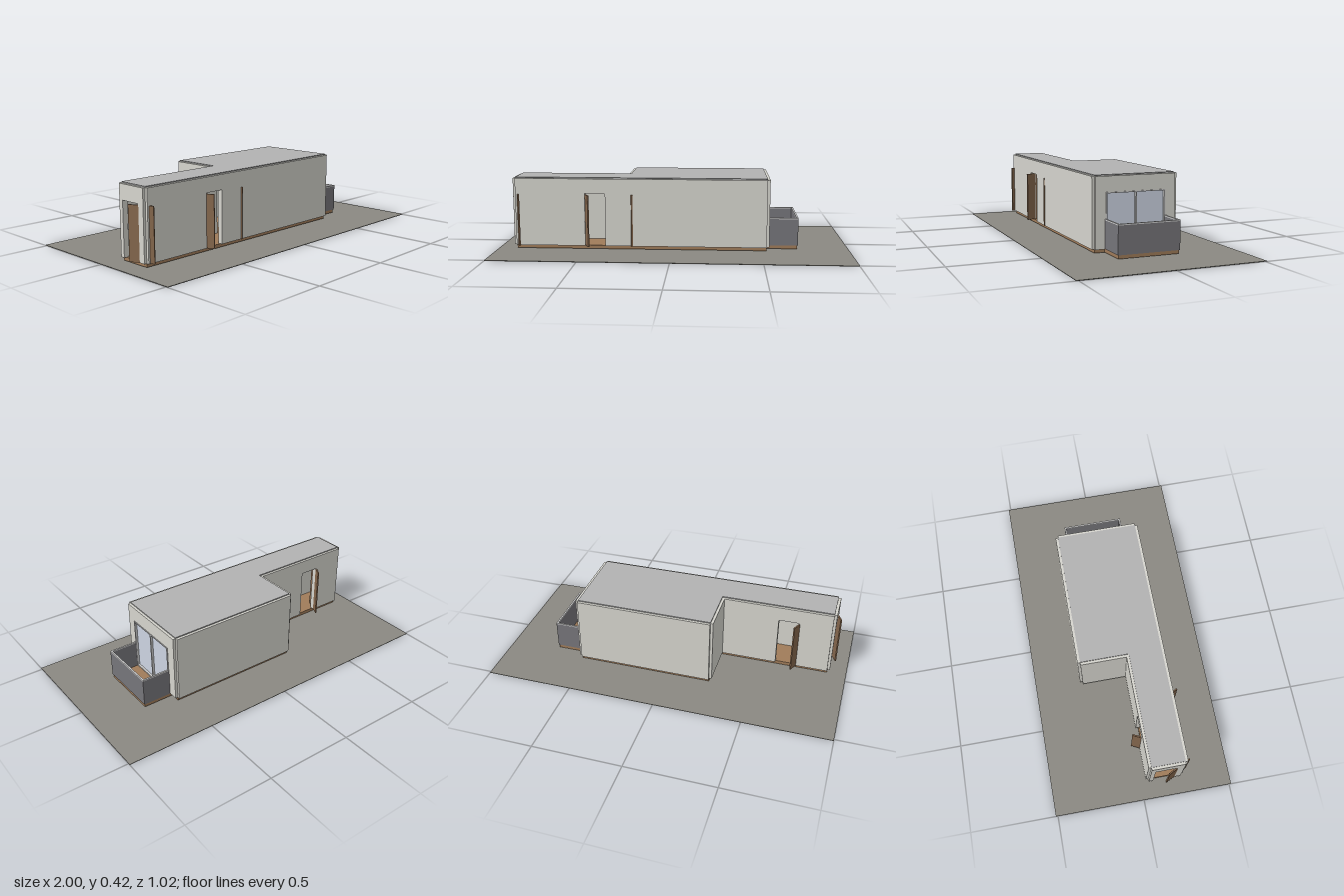
import * as THREE from 'three';

const paint = (color) => new THREE.MeshStandardMaterial({ color });

export function createModel() {
  const house = new THREE.Group();
  house.name = 'house';
  const plaster = paint(0xd6d5ce), wood = paint(0xa07c5a), doorWood = paint(0x86684e);
  const roofGrey = paint(0xb2b2b2), railGrey = paint(0x76757a), trim = paint(0xcdcfd0);
  const glass = paint(0xccd4e2), paving = paint(0x8b8982);

  // Box given by its extents on each axis
  function box(name, mat, [x0, x1], [y0, y1], [z0, z1], parent = house) {
    const mesh = new THREE.Mesh(new THREE.BoxGeometry(x1 - x0, y1 - y0, z1 - z0), mat);
    mesh.position.set((x0 + x1) / 2, (y0 + y1) / 2, (z0 + z1) / 2);
    mesh.name = name;
    parent.add(mesh);
    return mesh;
  }

  // L-shaped plan: narrow wing on the right, wide room on the left
  const W = -0.89, E = 0.53, S = 0.23, N = -0.23, JX = -0.25, JZ = 0.045;
  function slab(name, mat, y0, y1) {
    const plan = [[W, S], [E, S], [E, N], [JX, N], [JX, JZ], [W, JZ]];
    const shape = new THREE.Shape(plan.map(([x, z]) => new THREE.Vector2(x, -z)));
    const geo = new THREE.ExtrudeGeometry(shape, { depth: y1 - y0, bevelEnabled: false });
    const mesh = new THREE.Mesh(geo.rotateX(-Math.PI / 2), mat);
    mesh.position.y = y0;
    mesh.name = name;
    house.add(mesh);
  }

  box('ground', paving, [-1, 1], [0, 0.003], [-0.512, 0.512]);
  slab('floor', wood, 0.009, 0.029);
  slab('roof', roofGrey, 0.405, 0.418);

  // Walls centred on the plan edges, with an optional opening [from, to, top]
  const T = 0.015, Y0 = 0.029, Y1 = 0.412;
  function wall(name, axis, at, from, to, opening) {
    const group = new THREE.Group();
    group.name = name;
    house.add(group);
    const piece = (part, a, b, y0, y1) => {
      const along = [a, b], across = [at - T, at + T];
      box(part, plaster, axis === 'x' ? along : across, [y0, y1], axis === 'x' ? across : along, group);
    };
    if (!opening) return piece('wallPanel', from, to, Y0, Y1);
    const [a, b, top] = opening;
    piece('wallPanel', from, a, Y0, Y1);
    piece('wallPanel', b, to, Y0, Y1);
    piece('lintel', a, b, top, Y1);
  }
  const DOOR_TOP = 0.328;
  wall('frontWall', 'x', S, W, E, [-0.495, -0.38, DOOR_TOP]);
  wall('backWall', 'x', N, JX, E);
  wall('wingBackWall', 'x', JZ, W, JX, [-0.70, -0.585, DOOR_TOP]);
  wall('wingEndWall', 'z', W, JZ, S, [0.07, 0.19, DOOR_TOP]);
  wall('stepWall', 'z', JX, N, JZ);
  wall('partitionWall', 'z', JX, JZ, S, [0.06, 0.175, DOOR_TOP]);
  wall('balconyWall', 'z', E, N, S, [-0.17, 0.17, DOOR_TOP]);

  // Door leaves standing ajar; dir is +1 or -1 for the swing
  const doors = [
    ['frontDoor', -0.5, 0.217, 1],
    ['backDoor', -0.711, 0.047, -1],
    ['endDoor', -0.896, 0.203, 1],
    ['innerDoor', -0.257, 0.188, 1],
  ];
  for (const [name, x, z, dir] of doors) {
    const leaf = box(name, doorWood, [-0.069, 0.069], [0.029, 0.322], [-0.004, 0.004]);
    leaf.position.x = x;
    leaf.position.z = z;
    leaf.rotation.y = -1.12 * dir;
  }

  // Glazed doors onto the balcony
  const fx = [0.515, 0.549];
  for (const z of [-0.168, 0, 0.168])
    box('windowPost', trim, fx, [0.029, 0.328], [z - 0.004, z + 0.004]);
  for (const y of [0.032, 0.325])
    box('windowRail', trim, fx, [y - 0.003, y + 0.003], [-0.17, 0.17]);
  for (const s of [-1, 1])
    box('windowPane', glass, [0.53, 0.536], [0.035, 0.322], [s * 0.084 - 0.08, s * 0.084 + 0.08]);

  // Balcony with solid parapets and pale caps
  box('balconyFloor', wood, [E, 0.705], [0.009, 0.029], [-0.172, 0.172]);
  const sides = [
    [[0.7, 0.71], [-0.176, 0.176]],
    [[0.545, 0.7], [0.166, 0.176]],
    [[0.545, 0.7], [-0.176, -0.166]],
  ];
  for (const [xs, zs] of sides) {
    box('balconyParapet', railGrey, xs, [0.029, 0.181], zs);
    box('parapetCap', trim, xs, [0.181, 0.188], zs);
  }
  return house;
}
